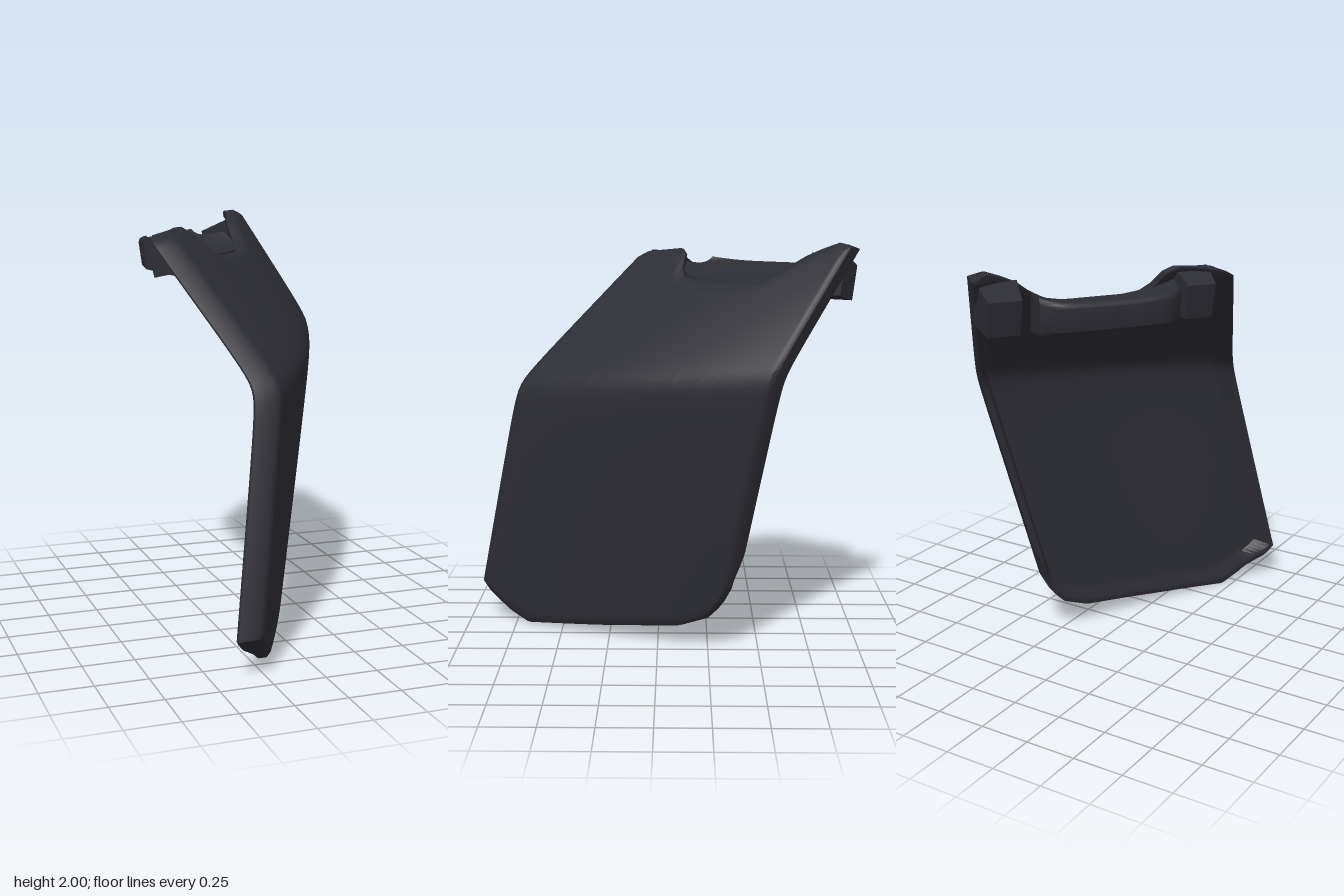
import * as THREE from 'three';
import { toCreasedNormals, mergeVertices } from 'three/addons/utils/BufferGeometryUtils.js';

const NU = 64, NV = 52;
const { lerp, clamp, smoothstep } = THREE.MathUtils;

// piecewise linear lookup in a short list of [u, y]
function lookup(list, u) {
  let i = 0;
  while (i < list.length - 2 && u > list[i + 1][0]) i++;
  const [a, b] = [list[i], list[i + 1]];
  return lerp(a[1], b[1], (u - a[0]) / (b[0] - a[0]));
}
const bottomEdge = [[0, 0.19], [0.04, 0.14], [0.15, 0.05], [0.24, 0], [0.55, 0.05], [0.85, 0.105], [0.94, 0.16], [0.98, 0.24], [1, 0.33]];
const topEdge = [[0, 1.9], [0.03, 1.93], [0.19, 1.95], [0.24, 1.92], [0.28, 1.86], [0.33, 1.815], [0.4, 1.8], [0.64, 1.8],
  [0.71, 1.82], [0.77, 1.87], [0.82, 1.93], [0.88, 1.97], [0.94, 2.0], [1, 1.98]];

// [x, y, z] of the front and rear edge at the floor, the bend and the top
const frontEdge = [[-0.31, 0, 0.98], [-0.105, 1.28, 0.72], [-0.43, 1.93, 0.085]];
const rearEdge = [[0.265, 0, -0.275], [0.54, 1.4, -0.53], [0.275, 1.97, -0.895]];
const frontInward = new THREE.Vector3(-0.12, -0.015, -0.02);
const rearInward = new THREE.Vector3(-0.085, -0.015, -0.065);

// point of the bent panel, moved toward the middle by inset and inward by depth
function panelPoint(u0, v0, inset, depth) {
  const u = inset + u0 * (1 - 2 * inset);
  const v = inset + v0 * (1 - 2 * inset);
  const [low, bend, top] = [0, 1, 2].map(k => frontEdge[k].map((c, i) => lerp(c, rearEdge[k][i], u)));
  const y = lerp(lookup(bottomEdge, u), lookup(topEdge, u), v);
  const h = y - bend[1], root = Math.hypot(h, 0.06);
  const up = (root + h) / 2 / (top[1] - bend[1]);
  const down = (root - h) / 2 / bend[1];
  const bulge = 4 * u * (1 - u) * 0.055 * clamp(y < bend[1] ? 0.6 + 0.4 * y / bend[1] : 1 - up, 0, 1);
  const x = bend[0] + (top[0] - bend[0]) * up + (low[0] - bend[0]) * down + bulge * 0.88;
  const z = bend[2] + (top[2] - bend[2]) * up + (low[2] - bend[2]) * down + bulge * 0.47;
  // the rim is shallower along the bottom and the top
  const shallow = 0.5 * smoothstep(u, 0, 0.15) * Math.max(1 - smoothstep(v, 0, 0.12),
    smoothstep(v, 0.9, 1) * (1 - smoothstep(u, 0.9, 1)));
  const d = depth > 0.4 ? depth * (1 - shallow) : depth;
  return new THREE.Vector3(x, y, z).addScaledVector(frontInward, d * (1 - u)).addScaledVector(rearInward, d * u);
}

// hollow panel: outer face, turned-in rim and inner face
function panelGeometry() {
  const pos = [], index = [];
  const add = p => pos.push(p.x, p.y, p.z) / 3 - 1;
  const quad = (a, b, c, d) => index.push(a, b, c, a, c, d);

  function face(inset, depth, flip) {
    const g = [];
    for (let j = 0; j <= NV; j++) {
      g.push([]);
      for (let i = 0; i <= NU; i++) g[j].push(add(panelPoint(i / NU, j / NV, inset, depth)));
    }
    for (let j = 0; j < NV; j++) for (let i = 0; i < NU; i++) {
      const [a, b, c, d] = [g[j][i], g[j][i + 1], g[j + 1][i + 1], g[j + 1][i]];
      if (flip) quad(a, d, c, b); else quad(a, b, c, d);
    }
  }
  function ring(inset, depth) {
    const r = [];
    const put = (u, v) => r.push(add(panelPoint(u, v, inset, depth)));
    for (let i = 0; i < NU; i++) put(i / NU, 0);
    for (let j = 0; j < NV; j++) put(1, j / NV);
    for (let i = NU; i > 0; i--) put(i / NU, 1);
    for (let j = NV; j > 0; j--) put(0, j / NV);
    return r;
  }
  face(0.012, 0, false);
  face(0.04, 0.35, true);
  const rings = [[0.012, 0], [0, 0.13], [0, 0.9], [0.008, 1], [0.022, 1], [0.04, 0.35]].map(([i, d]) => ring(i, d));
  for (let k = 0; k + 1 < rings.length; k++) {
    const a = rings[k], b = rings[k + 1];
    a.forEach((p, i) => {
      const n = (i + 1) % a.length;
      quad(p, b[i], b[n], a[n]);
    });
  }
  const geo = new THREE.BufferGeometry();
  geo.setAttribute('position', new THREE.Float32BufferAttribute(pos, 3));
  geo.setIndex(index);
  return toCreasedNormals(mergeVertices(geo, 1e-5), 0.75);
}

// shallow scooped tray behind the notch, with raised ends and rounded rear corners
function trayGeometry() {
  const half = 0.35;
  const shape = new THREE.Shape();
  shape.moveTo(0.0, 1.7);
  shape.lineTo(0.38, 1.73);
  shape.lineTo(0.41, 1.75);
  shape.lineTo(0.43, 1.85);
  shape.quadraticCurveTo(0.43, 1.88, 0.4, 1.88);
  shape.quadraticCurveTo(0.25, 1.8, 0.02, 1.804);
  shape.closePath();
  const geo = new THREE.ExtrudeGeometry(shape, { depth: half * 2, steps: 24, bevelEnabled: false, curveSegments: 10 });
  geo.translate(0, 0, -half);
  const p = geo.attributes.position;
  for (let i = 0; i < p.count; i++) {
    const w = p.getX(i), y = p.getY(i), t = p.getZ(i), e = Math.abs(t) / half;
    const fade = Math.max(0, 1 - w / 0.42);
    if (y > 1.78) p.setY(i, y + (0.015 + 0.075 * fade) * e ** 4);
    p.setX(i, w * (1 - 0.17 * e ** 6 * (1 - fade)) + 0.14 * fade * e ** 4);
    p.setZ(i, t * (1 - 0.12 * w) + 0.09 * w);
  }
  return toCreasedNormals(geo, 0.6);
}

// tapered clip block
function clipGeometry(width) {
  const geo = new THREE.BoxGeometry(width, 0.2, 0.15);
  const p = geo.attributes.position;
  for (let i = 0; i < p.count; i++) {
    if (p.getZ(i) < 0) {
      p.setX(i, p.getX(i) * 0.8);
      p.setY(i, p.getY(i) * 0.85 - 0.01);
    }
  }
  geo.computeVertexNormals();
  return geo;
}

export function createModel() {
  const model = new THREE.Group();
  const charcoal = new THREE.MeshStandardMaterial({ color: 0x2c2c34 });
  charcoal.name = 'charcoal';
  const add = (name, geo) => {
    const mesh = new THREE.Mesh(geo, charcoal);
    mesh.name = name;
    model.add(mesh);
    return mesh;
  };

  add('panel', panelGeometry());

  const tray = add('gripTray', trayGeometry());
  tray.position.set(0, 0, -0.31);
  tray.rotation.y = 2.498;

  // clips on the inner side of both top corners
  [['frontClip', 0.17, -0.4, 1.82, -0.06], ['rearClip', 0.19, 0.135, 1.83, -0.845]].forEach(([name, width, x, y, z]) => {
    const mesh = add(name, clipGeometry(width));
    mesh.position.set(x, y, z);
    mesh.rotation.set(-0.25, 0.93, 0, 'YXZ');
  });

  return model;
}
